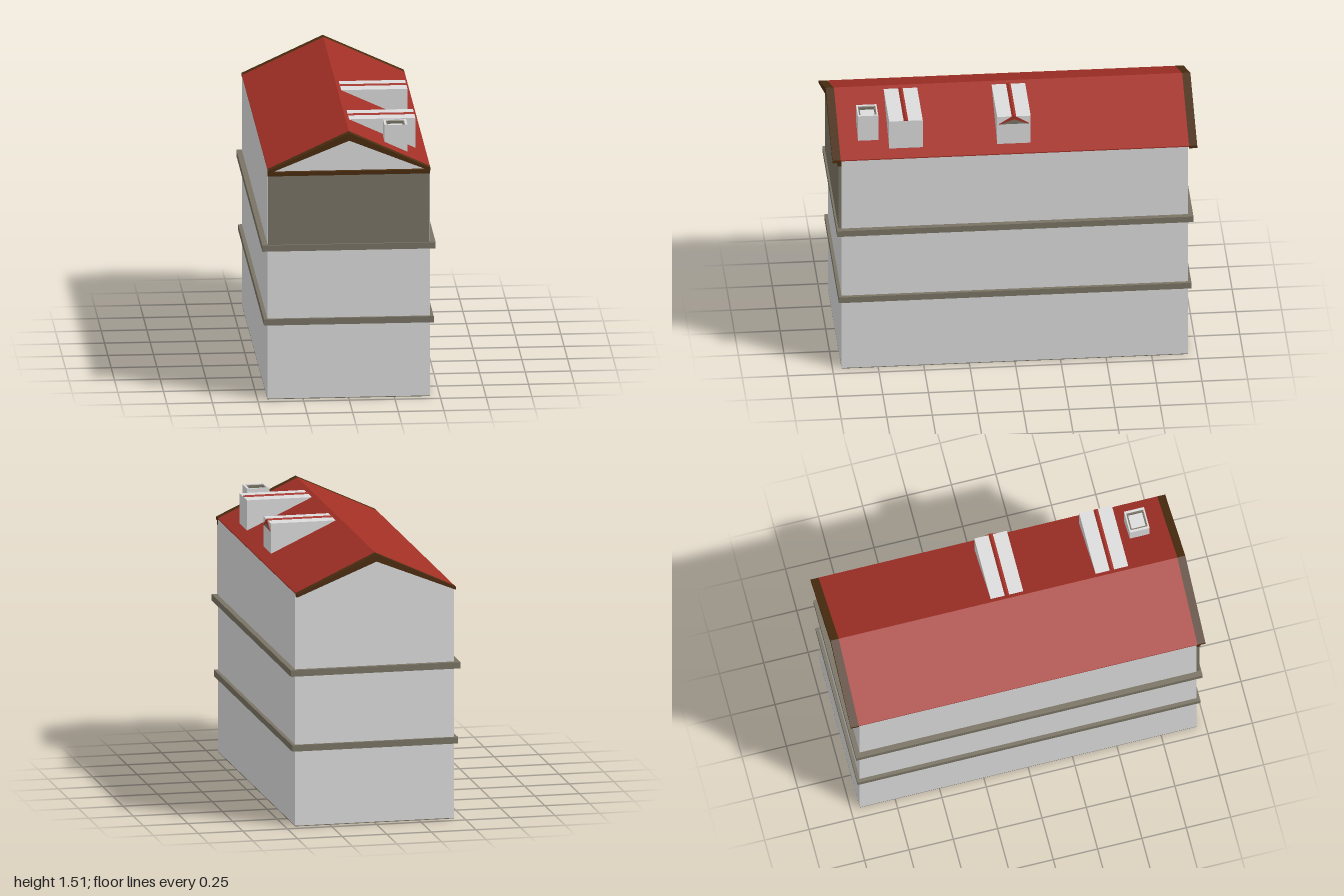
import * as THREE from 'three';

export function createModel() {
  const root = new THREE.Group();
  root.name = 'townHouse';

  const material = (name, color) => {
    const m = new THREE.MeshStandardMaterial({ color });
    m.name = name;
    return m;
  };
  const plaster = material('plaster', 0xdcdcdc);
  const stone = material('stone', 0x7a7465);
  const tiles = material('roofTiles', 0xa23026);
  const timber = material('timber', 0x4b2d10);

  const add = (parent, name, geometry, mat) => {
    const mesh = new THREE.Mesh(geometry, mat);
    mesh.name = name;
    parent.add(mesh);
    return mesh;
  };
  // Box given by its low and high corners
  const box = (parent, name, mat, [x0, y0, z0], [x1, y1, z1]) =>
    add(parent, name, new THREE.BoxGeometry(x1 - x0, y1 - y0, z1 - z0)
      .translate((x0 + x1) / 2, (y0 + y1) / 2, (z0 + z1) / 2), mat);
  // Outline in x,y extruded from z0 to z1
  const prism = (points, z0, z1) => new THREE.ExtrudeGeometry(
    new THREE.Shape(points.map(([x, y]) => new THREE.Vector2(x, y))),
    { depth: z1 - z0, bevelEnabled: false }).translate(0, 0, z0);
  // Inverted V outline: half width, eave and ridge heights, thickness at each
  const chevron = (w, eave, ridge, tEave, tRidge) => [
    [-w, eave], [-w, eave - tEave], [0, ridge - tRidge], [w, eave - tEave], [w, eave], [0, ridge]];

  const W = 0.445, EAVE = 1.308, RIDGE = 1.515;

  // Main walls with gables, and the dark underside
  add(root, 'walls', prism([[-W, 0.004], [W, 0.004], [W, EAVE - 0.006],
    [0, RIDGE - 0.006], [-W, EAVE - 0.006]], -0.95, 0.95), plaster);
  box(root, 'base', stone, [-W, 0, -0.95], [W, 0.004, 0.95]);

  // Stone bands around each storey
  box(root, 'lowerBand', stone, [-0.465, 0.423, -0.967], [0.465, 0.458, 0.967]);
  box(root, 'upperBand', stone, [-0.475, 0.845, -0.977], [0.475, 0.88, 0.977]);

  // Front upper storey cladding and the beam above it
  box(root, 'frontPanel', stone, [-W + 0.002, 0.88, 0.95], [W - 0.002, 1.27, 0.967]);
  box(root, 'gableBeam', timber, [-W, 1.27, 0.95], [W, 1.292, 0.972]);

  // Roof covering and timber bargeboards at both ends
  add(root, 'roof', prism(chevron(W, EAVE, RIDGE, 0.006, 0.006), -0.955, 0.955), tiles);
  for (const [name, z] of [['frontBargeboard', 0.955], ['backBargeboard', -1]]) {
    add(root, name, prism(chevron(W, EAVE, RIDGE, 0.016, 0.043), z, z + 0.045), timber);
  }

  // Dormers on the left slope, each with a small ridged roof breaking the top
  const dormer = (name, z, gableEnd) => {
    const group = new THREE.Group();
    group.name = name;
    group.position.z = z;
    root.add(group);
    add(group, 'dormerBody', prism([[0.022, 1.503], [0.385, 1.325], [0.385, 1.505],
      [0.022, 1.505]], -0.092, 0.092), plaster);
    const ridge = prism(chevron(0.083, 1.46, 1.513, 0.002, 0.024), 0.022, gableEnd);
    add(group, 'dormerRoof', ridge.rotateY(Math.PI / 2), tiles);
    if (gableEnd > 0.386) {
      const gable = prism([[-0.078, 1.459], [0.078, 1.459], [0, 1.492]], 0.383, 0.387);
      add(group, 'dormerGable', gable.rotateY(Math.PI / 2), stone);
    }
  };
  dormer('middleDormer', 0, 0.39);
  dormer('frontDormer', 0.592, 0.384);

  // Chimney: hollow shaft with a stone lining and recessed cap
  const chimney = new THREE.Group();
  chimney.name = 'chimney';
  chimney.position.set(0.267, 0, 0.795);
  root.add(chimney);
  const frame = (outerX, outerZ, innerX, innerZ, y0, y1) => {
    const rect = (Type, x, z) => new Type([[-x, -z], [x, -z], [x, z], [-x, z]]
      .map(([a, b]) => new THREE.Vector2(a, b)));
    const shape = rect(THREE.Shape, outerX, outerZ);
    shape.holes.push(rect(THREE.Path, innerX, innerZ));
    return new THREE.ExtrudeGeometry(shape, { depth: y1 - y0, bevelEnabled: false })
      .rotateX(-Math.PI / 2).translate(0, y0, 0);
  };
  add(chimney, 'chimneyShaft', frame(0.063, 0.056, 0.05, 0.048, 1.32, 1.515), plaster);
  add(chimney, 'chimneyLining', frame(0.05, 0.048, 0.042, 0.04, 1.45, 1.51), stone);
  box(chimney, 'chimneyCap', plaster, [-0.042, 1.47, -0.04], [0.042, 1.495, 0.04]);

  return root;
}
